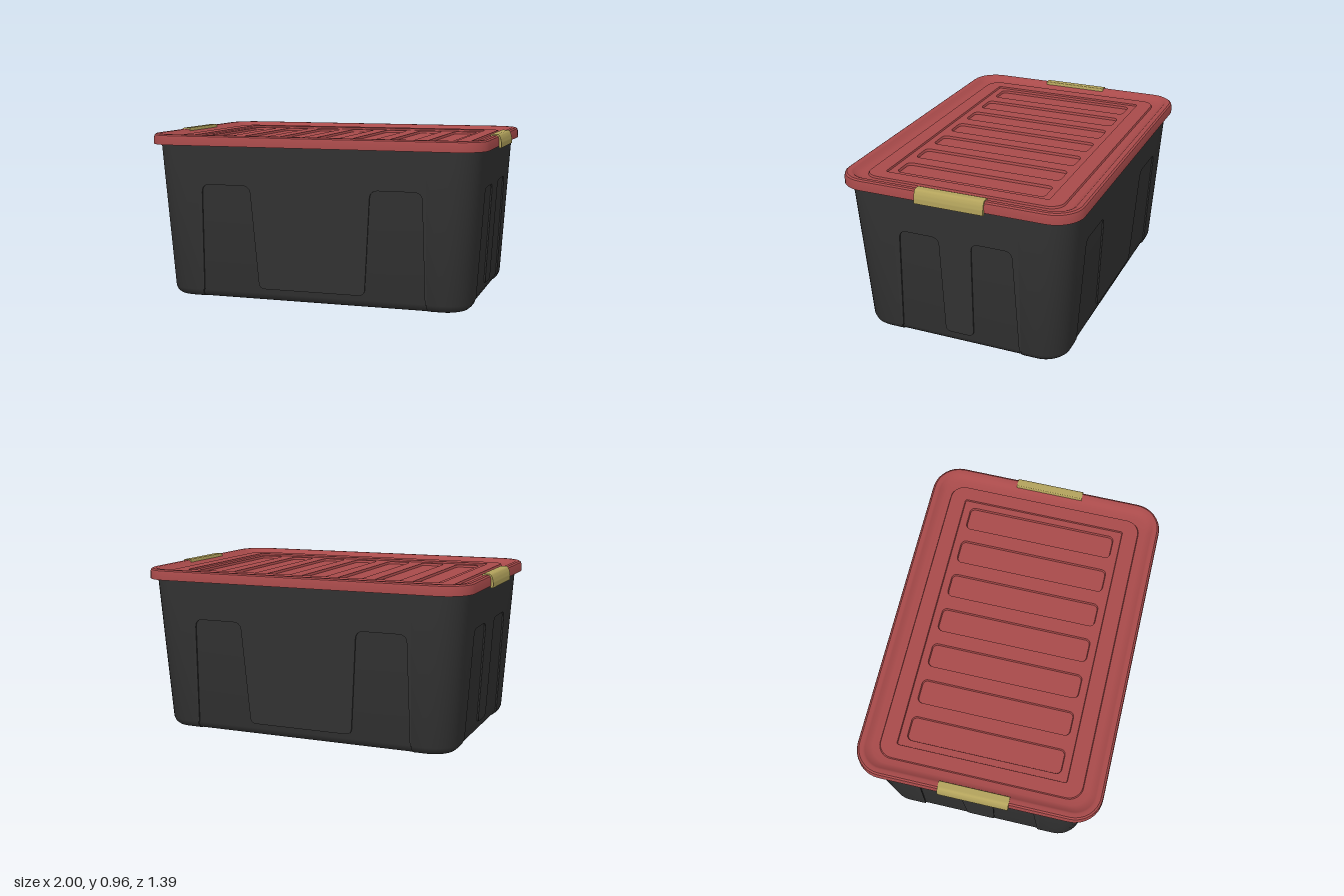
import * as THREE from 'three';
import { toCreasedNormals } from 'three/addons/utils/BufferGeometryUtils.js';

const flat = (name, color) => {
  const m = new THREE.MeshStandardMaterial({ color });
  m.name = name;
  return m;
};

// Plan outline of a rounded rectangle (x, z), running from +x towards +z
function roundRect(hx, hz, r, n = 8) {
  const pts = [];
  [[1, 1], [-1, 1], [-1, -1], [1, -1]].forEach(([sx, sz], q) => {
    for (let i = 0; i <= n; i++) {
      const a = (q + i / n) * Math.PI / 2;
      pts.push(new THREE.Vector2(sx * (hx - r) + r * Math.cos(a), sz * (hz - r) + r * Math.sin(a)));
    }
  });
  return pts;
}

// Skin a stack of outlines; each ring is { y, pts }
function loft(rings, closed = true) {
  const n = rings[0].pts.length, pos = [], idx = [];
  for (const { y, pts } of rings) for (const p of pts) pos.push(p.x, y, p.y);
  for (let i = 0; i < rings.length - 1; i++) {
    for (let j = 0; j < (closed ? n : n - 1); j++) {
      const k = (j + 1) % n, a = i * n + j, b = i * n + k;
      idx.push(a, a + n, b + n, a, b + n, b);
    }
  }
  const g = new THREE.BufferGeometry();
  g.setAttribute('position', new THREE.Float32BufferAttribute(pos, 3));
  g.setIndex(idx);
  return toCreasedNormals(g, 0.6);
}

// Rings given as [halfX, halfZ, cornerRadius, y]; zero size closes the skin
const loftRects = (list) => loft(list.map(([hx, hz, r, y]) => ({ y, pts: roundRect(hx, hz, r) })));

// Shape with its corners rounded by the radius in each [x, y, r]
function roundedShape(points) {
  const s = new THREE.Shape();
  points.forEach(([x, y, r = 0], i) => {
    const p = new THREE.Vector2(x, y);
    const towards = (q) => new THREE.Vector2(q[0], q[1]).sub(p).setLength(r).add(p);
    const a = towards(points.at(i - 1)), b = towards(points[(i + 1) % points.length]);
    if (i === 0) s.moveTo(a.x, a.y); else s.lineTo(a.x, a.y);
    if (r) s.quadraticCurveTo(x, y, b.x, b.y);
  });
  s.closePath();
  return s;
}

// Tub dimensions
const TOP = 0.91, STEP = 0.008;
const tubX = (y) => 0.898 + 0.058 * y;
const tubZ = (y) => 0.608 + 0.061 * y;
const FOOT = [[0, 0.045], [0.006, 0.025], [0.02, 0.009], [0.045, 0], [TOP, 0]]; // [y, inset]

export function createModel() {
  const model = new THREE.Group();
  const black = flat('charcoal plastic', 0x333333);
  const red = flat('red plastic', 0xa84a4a);
  const tan = flat('tan plastic', 0xb3a35c);
  const add = (parent, name, geometry, material) => {
    const m = new THREE.Mesh(geometry, material);
    m.name = name;
    parent.add(m);
    return m;
  };
  const tub = new THREE.Group();
  tub.name = 'tub';
  const lid = new THREE.Group();
  lid.name = 'lid';
  model.add(tub, lid);

  // Inner body: the surface seen inside the side recesses, and the stepped base
  add(tub, 'tubBody', loftRects([
    [0, 0, 0, 0.006], [0.78, 0.49, 0.03, 0.006], [0.785, 0.495, 0.03, 0],
    ...FOOT.map(([y, d]) => [tubX(y) - d - STEP, tubZ(y) - d - STEP, 0.145 - d, y]),
  ]), black);

  // Raised corners, wrapping from one side recess to the next
  const edgeX = 0.67, edgeZ = 0.37;
  for (const sx of [1, -1]) for (const sz of [1, -1]) {
    const ring = (y, d) => {
      const hx = tubX(y) - d, hz = tubZ(y) - d;
      const pts = [
        new THREE.Vector2(hx - STEP, edgeZ), new THREE.Vector2(hx, edgeZ),
        ...roundRect(hx, hz, 0.15 - d).slice(0, 9),
        new THREE.Vector2(edgeX, hz), new THREE.Vector2(edgeX, hz - STEP),
      ].map((p) => new THREE.Vector2(p.x * sx, p.y * sz));
      return { y, pts: sx * sz < 0 ? pts.reverse() : pts };
    };
    add(tub, 'tubCorner', loft([ring(0, 0.053), ...FOOT.map(([y, d]) => ring(y, d))], false), black);
  }

  // Raised side panels, cut away around a U-shaped recess
  const sidePanel = (edge, half, out, turn) => {
    const right = [...half].reverse().map(([u, y, r]) => [-u, y, r]);
    const g = new THREE.ExtrudeGeometry(
      roundedShape([[-edge, TOP], [-edge, 0.045], ...half, ...right, [edge, 0.045], [edge, TOP]]),
      { depth: 0.012, bevelEnabled: false, curveSegments: 6 });
    const p = g.attributes.position;
    for (let i = 0; i < p.count; i++) p.setZ(i, p.getZ(i) - 0.012 + out(p.getY(i)));
    g.computeVertexNormals();
    g.rotateY(turn);
    add(tub, 'sidePanel', g, black);
  };
  const longRecess = [[-0.662, 0.045], [-0.648, 0.672, 0.045], [-0.355, 0.672, 0.045], [-0.315, 0.073, 0.035]];
  const shortRecess = [[-0.36, 0.045], [-0.333, 0.672, 0.045], [-0.096, 0.672, 0.045], [-0.085, 0.073, 0.035]];
  for (const turn of [0, Math.PI]) {
    sidePanel(edgeX, longRecess, tubZ, turn);
    sidePanel(edgeZ, shortRecess, tubX, turn + Math.PI / 2);
  }

  // Lid: skirt, rounded rim, gutter, raised border and step down to the field
  const FIELD = 0.93;
  add(lid, 'lidRim', loftRects([
    [0.9, 0.61, 0.12, 0.915], [0.972, 0.682, 0.15, 0.915], [0.974, 0.684, 0.15, 0.897],
    [0.987, 0.697, 0.16, 0.897], [0.986, 0.696, 0.16, 0.938], [0.982, 0.692, 0.156, 0.95],
    [0.972, 0.682, 0.146, 0.957], [0.95, 0.66, 0.125, 0.957], [0.94, 0.65, 0.115, 0.952],
    [0.928, 0.638, 0.11, 0.938], [0.905, 0.615, 0.1, 0.931], [0.872, 0.578, 0.08, 0.929],
    [0.868, 0.574, 0.08, 0.94], [0.787, 0.484, 0.012, 0.94], [0.784, 0.481, 0.01, FIELD],
  ]), red);

  // Lid field with seven sunken slots
  const slotXs = Array.from({ length: 7 }, (_, i) => (i - 3) * 0.225);
  const field = new THREE.Shape(roundRect(0.784, 0.481, 0.01));
  for (const x of slotXs) {
    field.holes.push(new THREE.Path(roundRect(0.071, 0.44, 0.03).map((p) => new THREE.Vector2(p.x + x, p.y))));
    const slot = add(lid, 'lidSlot', loftRects([
      [0.071, 0.44, 0.03, FIELD], [0.067, 0.436, 0.027, FIELD - 0.014], [0, 0, 0, FIELD - 0.014],
    ]), red);
    slot.position.x = x;
  }
  add(lid, 'lidField', new THREE.ShapeGeometry(field).rotateX(-Math.PI / 2).translate(0, FIELD, 0), red);

  // Clips hooked over the rim at both ends
  const hook = roundedShape([
    [0.934, 0.945], [0.938, 0.964, 0.006], [0.984, 0.964, 0.012], [0.995, 0.94, 0.008],
    [1, 0.915, 0.004], [1, 0.886], [0.986, 0.886], [0.984, 0.94], [0.975, 0.95],
  ]);
  for (const side of [1, -1]) {
    const g = new THREE.ExtrudeGeometry(hook, { depth: 0.4, bevelEnabled: false, curveSegments: 4 });
    g.translate(0, 0, -0.2);
    if (side < 0) g.rotateY(Math.PI);
    add(model, side > 0 ? 'leftClip' : 'rightClip', g, tan);
  }

  return model;
}
